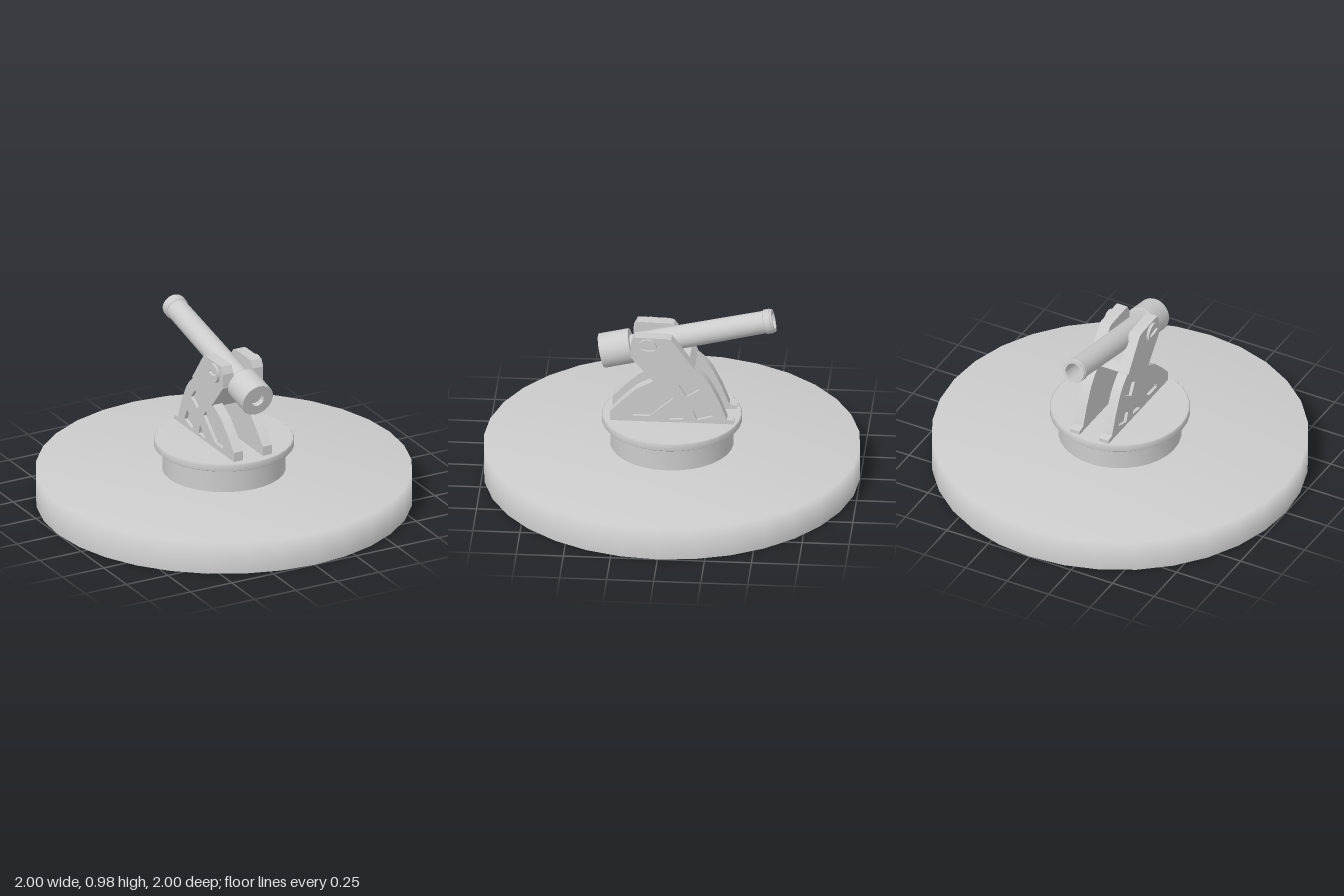
import * as THREE from 'three';
import { toCreasedNormals } from 'three/addons/utils/BufferGeometryUtils.js';

const material = new THREE.MeshStandardMaterial({ color: 0xcccccc });

const vectors = (pts) => pts.map(([a, b]) => new THREE.Vector2(a, b));

function addMesh(parent, name, geometry) {
  const mesh = new THREE.Mesh(geometry, material);
  mesh.name = name;
  parent.add(mesh);
  return mesh;
}

// Turned part with sharp edges; profile is [radius, height] from bottom to top
const turned = (pts, sides = 32) =>
  toCreasedNormals(new THREE.LatheGeometry(vectors(pts), sides), 0.6);

// Side-profile shape in (z, y), extruded along x between x0 and x1
function slab(shape, x0, x1) {
  const [lo, hi] = [Math.min(x0, x1), Math.max(x0, x1)];
  const geometry = new THREE.ExtrudeGeometry(shape, { depth: hi - lo, bevelEnabled: false, curveSegments: 12 });
  geometry.rotateY(-Math.PI / 2);
  geometry.translate(hi, 0, 0);
  return toCreasedNormals(geometry, 0.4);
}

// Outlines as [z, y]
const LEG = [[0.32, 0.35], [0.32, 0.41], [0.25, 0.485], [0.18, 0.55], [0.08, 0.605], [-0.02, 0.66],
  [-0.13, 0.675], [-0.175, 0.635], [-0.21, 0.59], [-0.26, 0.49], [-0.3, 0.385], [-0.34, 0.378], [-0.34, 0.35]];
const POCKETS = [
  [[0.2, 0.39], [0.195, 0.41], [0.01, 0.535], [-0.015, 0.5], [0.11, 0.39]],
  [[-0.045, 0.58], [-0.11, 0.61], [-0.155, 0.555], [-0.085, 0.51]],
  [[-0.12, 0.43], [-0.2, 0.46], [-0.225, 0.4], [-0.14, 0.375]],
  [[0.01, 0.373], [-0.055, 0.433], [-0.07, 0.378]],
];
const CHEEK = [[0.21, 0.74], [0.21, 0.82], [0.19, 0.86], [0.02, 0.857], [-0.005, 0.85],
  [-0.13, 0.68], [-0.02, 0.655], [0.085, 0.595]];
const WEB = [[0.18, 0.707], [0.085, 0.595], [0.05, 0.567], [-0.02, 0.6], [-0.13, 0.678], [-0.1, 0.72], [0.05, 0.72]];

export function createModel() {
  const model = new THREE.Group();
  model.name = 'cannonOnPedestal';

  // Wide ground disc with a softly shaded rim, and its underside
  addMesh(model, 'baseDisc', new THREE.LatheGeometry(vectors([[1, 0], [1, 0.18], [0, 0.18]]), 32));
  addMesh(model, 'baseUnderside', new THREE.CircleGeometry(1, 32).rotateX(Math.PI / 2));

  // Pedestal drum and turntable
  addMesh(model, 'pedestalDrum', turned([[0.327, 0.17], [0.327, 0.32]]));
  addMesh(model, 'turntable',
    new THREE.LatheGeometry(vectors([[0.32, 0.316], [0.368, 0.316], [0.372, 0.32], [0.372, 0.352], [0.365, 0.358], [0, 0.358]]), 32));

  // Mirrored carriage sides
  for (const s of [1, -1]) {
    const side = new THREE.Group();
    side.name = s > 0 ? 'leftCarriage' : 'rightCarriage';
    model.add(side);

    // Leg: solid inner panel, outer frame with pockets
    addMesh(side, 'legPanel', slab(new THREE.Shape(vectors(LEG)), s * 0.059, s * 0.098));
    const frame = new THREE.Shape(vectors(LEG));
    frame.holes = POCKETS.map((p) => new THREE.Path(vectors(p)));
    addMesh(side, 'legFrame', slab(frame, s * 0.098, s * 0.115));

    // Cheek that carries the barrel
    addMesh(side, 'cheek', slab(new THREE.Shape(vectors(CHEEK)), s * 0.058, s * 0.122));

    // Slotted trunnion cap
    const cap = new THREE.Shape().absarc(0.122, 0.8, 0.053, 0, Math.PI * 2);
    cap.holes.push(new THREE.Path().absellipse(0.122, 0.8, 0.042, 0.012, 0, Math.PI * 2, false, 0.1));
    addMesh(side, 'trunnionCap', slab(cap, s * 0.12, s * 0.137));
  }

  // Cross web joining the cheeks below the barrel
  addMesh(model, 'crossWeb', slab(new THREE.Shape(vectors(WEB)), -0.06, 0.06));

  // Gun: turned along its own axis, then aimed up and to the back
  const gun = new THREE.Group();
  gun.name = 'gun';
  const rear = new THREE.Vector3(0, 0.711, 0.374);
  const axis = new THREE.Vector3(-0.013, 0.922, -0.54).sub(rear);
  const length = axis.length();
  gun.position.copy(rear);
  gun.quaternion.setFromUnitVectors(new THREE.Vector3(0, 1, 0), axis.normalize());
  model.add(gun);

  // Breech with a recessed centre
  addMesh(gun, 'breech', turned([[0, 0.03], [0.036, 0.03], [0.036, 0], [0.09, 0], [0.093, 0.004],
    [0.093, 0.161], [0.09, 0.165], [0.05, 0.165]]));
  // Tapered barrel, muzzle band and bore
  addMesh(gun, 'barrel', turned([[0.058, 0.16], [0.058, 0.19], [0.065, 0.2], [0.06, length - 0.05],
    [0.066, length - 0.045], [0.066, length - 0.012], [0.062, length - 0.01], [0.062, length],
    [0.046, length], [0.044, length - 0.2], [0, length - 0.2]]));

  return model;
}
